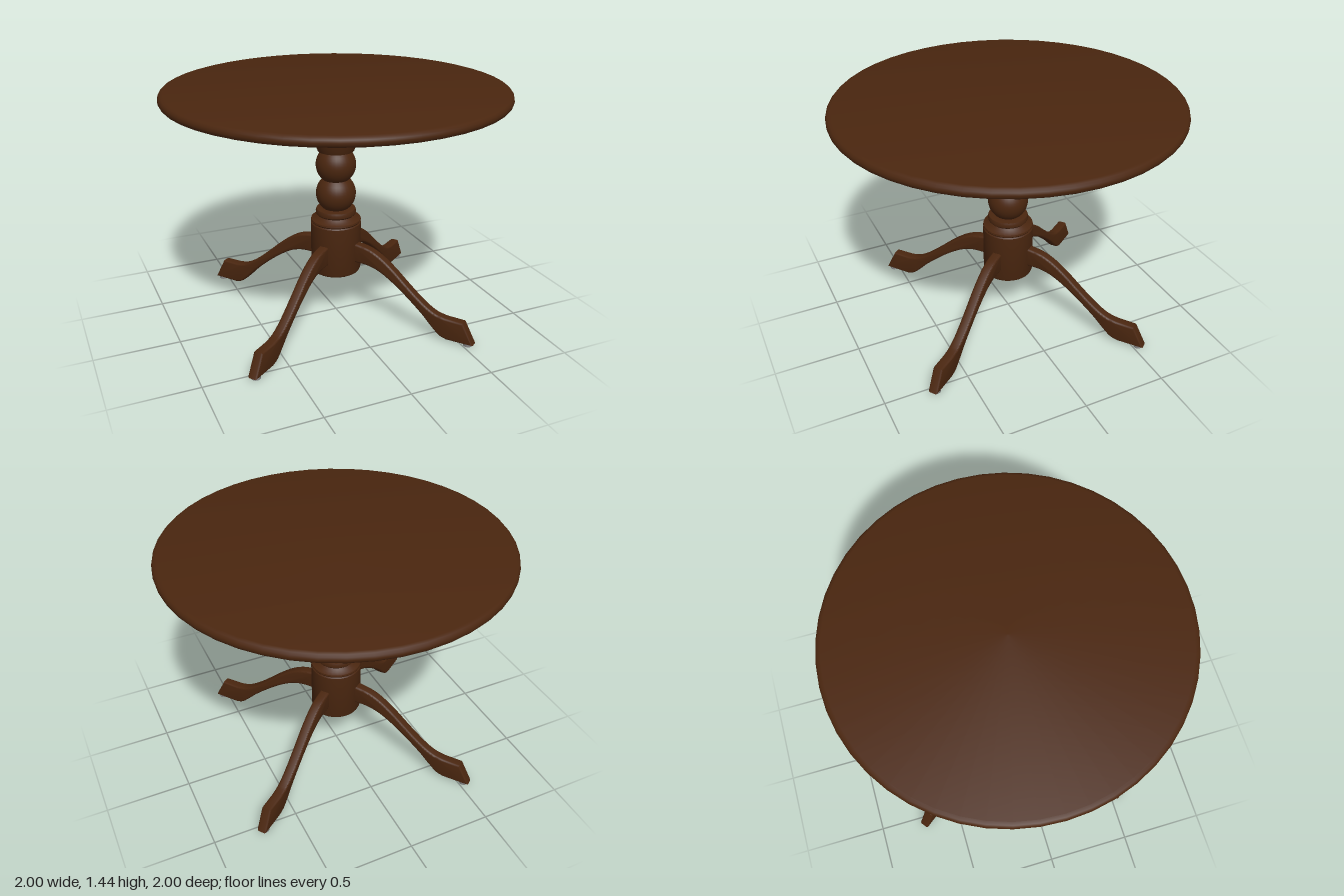
import * as THREE from 'three';
import { toCreasedNormals } from 'three/addons/utils/BufferGeometryUtils.js';

const wood = new THREE.MeshStandardMaterial({ color: 0x4a260f });
wood.name = 'dark wood';
const metal = new THREE.MeshStandardMaterial({ color: 0x858585 });
metal.name = 'grey metal';

function mesh(name, geometry, material) {
  const m = new THREE.Mesh(geometry, material);
  m.name = name;
  return m;
}

// Turned part from [radius, y] pairs, bottom to top
function turned(name, points, segments, crease = 0.6) {
  const g = new THREE.LatheGeometry(points.map(([r, y]) => new THREE.Vector2(r, y)), segments);
  return mesh(name, toCreasedNormals(g, crease), wood);
}

// Arc of a ball as profile points
function ball(cy, r, half) {
  const out = [];
  for (let i = 0; i <= 12; i++) {
    const a = THREE.MathUtils.lerp(-half, half, i / 12);
    out.push([r * Math.cos(a), cy + 0.12 * Math.sin(a)]);
  }
  return out;
}

function legGeometry() {
  const bevel = 0.012;
  const v = (x, y) => new THREE.Vector2(x, y);
  const s = new THREE.Shape();
  // Upper edge, outwards
  s.moveTo(0.12, 0.482);
  s.splineThru([v(0.17, 0.477), v(0.24, 0.462), v(0.31, 0.428), v(0.39, 0.37), v(0.47, 0.3),
    v(0.55, 0.232), v(0.62, 0.18), v(0.68, 0.149), v(0.74, 0.136)]);
  s.lineTo(0.848, 0.134);
  // Toe and sole
  s.lineTo(0.908, 0.024);
  s.lineTo(0.76, 0.024);
  // Lower edge, inwards
  s.splineThru([v(0.715, 0.04), v(0.66, 0.09), v(0.6, 0.15), v(0.5, 0.235), v(0.41, 0.302),
    v(0.32, 0.355), v(0.24, 0.38), v(0.17, 0.384), v(0.12, 0.384)]);
  const g = new THREE.ExtrudeGeometry(s, {
    depth: 0.036, bevelEnabled: true, bevelThickness: bevel, bevelSize: bevel,
    bevelSegments: 3, curveSegments: 24,
  });
  g.translate(0, 0, -0.018);
  return toCreasedNormals(g, 0.6);
}

export function createModel() {
  const table = new THREE.Group();
  table.name = 'pedestalTable';

  // Round top with a softened edge
  table.add(turned('tableTop', [[0, 1.38], [0.975, 1.38], [0.99, 1.386], [0.998, 1.396], [1, 1.408],
    [0.997, 1.422], [0.987, 1.433], [0.97, 1.438], [0, 1.438]], 48));

  // Mounting plate under the top
  const plate = mesh('mountingPlate',
    toCreasedNormals(new THREE.CylinderGeometry(0.307, 0.307, 0.033, 12), 0.3), wood);
  plate.position.y = 1.364;
  table.add(plate);

  // Turned column
  table.add(turned('columnBase', [[0, 0.288], [0.135, 0.288], [0.146, 0.295], [0.152, 0.31],
    [0.152, 0.605], [0.147, 0.612], [0.152, 0.62], [0.15, 0.63], [0.13, 0.638], [0.118, 0.65],
    [0.112, 0.655], [0.12, 0.664], [0.122, 0.68], [0.117, 0.694], [0.09, 0.698], [0, 0.698]], 32));
  table.add(turned('lowerBall', ball(0.79, 0.12, 0.86), 32));
  table.add(turned('upperBall', ball(0.97, 0.12, 0.86), 32));
  table.add(turned('columnHead', [[0, 1.058], [0.108, 1.058], [0.118, 1.085], [0.124, 1.112],
    [0.142, 1.116], [0.147, 1.126], [0.14, 1.136], [0.152, 1.142], [0.163, 1.15], [0.165, 1.162],
    [0.161, 1.174], [0.155, 1.18], [0.155, 1.35]], 32));

  // Four curved legs with glides, and the screws above
  const legShape = legGeometry();
  const glideShape = new THREE.CylinderGeometry(0.026, 0.026, 0.016, 16);
  const screwShape = new THREE.CylinderGeometry(0.013, 0.013, 0.018, 12);
  const washerShape = new THREE.CylinderGeometry(0.026, 0.026, 0.006, 12);
  for (let i = 0; i < 4; i++) {
    const legGroup = new THREE.Group();
    legGroup.name = 'legAssembly' + (i + 1);
    const glide = mesh('glide', glideShape, metal);
    glide.position.set(0.885, 0.008, 0);
    legGroup.add(mesh('leg', legShape, wood), glide);
    legGroup.rotation.y = -THREE.MathUtils.degToRad(53 + 90 * i);
    table.add(legGroup);

    const a = THREE.MathUtils.degToRad(35 + 90 * i);
    const fixing = new THREE.Group();
    fixing.name = 'plateScrew' + (i + 1);
    const screw = mesh('screwHead', screwShape, metal);
    const washer = mesh('washer', washerShape, metal);
    screw.position.y = -0.008;
    fixing.add(screw, washer);
    fixing.position.set(0.24 * Math.cos(a), 1.345, 0.24 * Math.sin(a));
    table.add(fixing);
  }
  return table;
}
